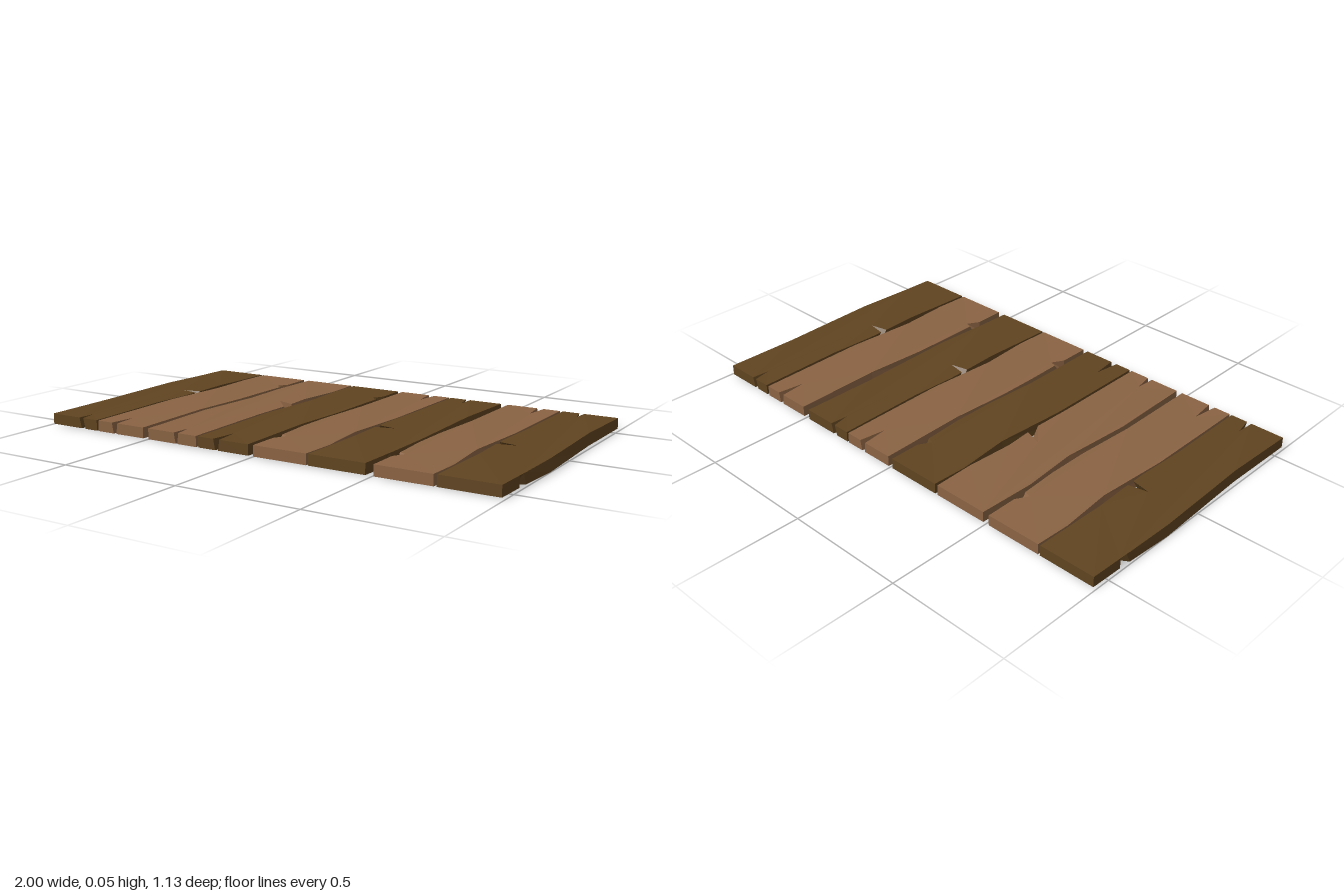
import * as THREE from 'three';

const END = 0.565; // half length of a plank

// Outline points run down the left edge, along the front, up the right edge.
// Each is [x, z, dx, dz]: top position, then the shift of its bottom twin.
const plankTypes = {
  // nick in the right edge, split front end, chip under the left edge
  nicked: [
    [-0.117, -END], [-0.12, -0.43], [-0.121, -0.4, 0.03], [-0.122, -0.38],
    [-0.127, -0.18, -0.002], [-0.117, 0.1], [-0.111, 0.25], [-0.117, END],
    [0.025, END, 0.01], [0.03, 0.49, 0.01], [0.045, END, 0.01], [0.117, END],
    [0.111, 0.2, 0.006], [0.119, 0, 0.002, 0.03], [0.117, -0.06, 0, 0.03],
    [0.04, -0.075, 0, 0.045], [0.117, -0.092, 0, 0.045], [0.11, -0.25], [0.117, -END]
  ],
  // shallow wedge in the right edge, split front end
  split: [
    [-0.116, -END], [-0.121, -0.42], [-0.103, -0.2, -0.006], [-0.122, 0.1, 0.006],
    [-0.116, END], [-0.045, END, 0.008], [-0.03, 0.455, 0.006], [-0.017, END, -0.006], [0.114, END],
    [0.108, 0.2, 0.006], [0.122, -0.05], [0.122, -0.22], [0.115, -0.375],
    [0.087, -0.385, 0.028, -0.02], [0.115, -0.435], [0.114, -END]
  ],
  // large wedge in the right edge, split front end
  wedged: [
    [-0.114, -END], [-0.122, -0.33, 0.006], [-0.105, -0.1, -0.006], [-0.126, 0.2],
    [-0.114, END], [0.012, END, 0.008], [0.018, 0.485, 0.006], [0.034, END, -0.006], [0.118, END],
    [0.112, 0.15], [0.115, -0.025], [0.038, -0.11, 0.076, 0.05], [0.113, -0.085],
    [0.105, -0.2, 0.01], [0.12, -0.4], [0.116, -END]
  ]
};

// Prism between a top and a bottom outline, slightly swollen in the middle
function plankGeometry(outline) {
  const swell = z => (Math.abs(z) < 0.26 ? 1 : 0);
  const top = outline.map(([x, z]) => new THREE.Vector3(x, 0.047 + 0.003 * swell(z), z));
  const bottom = outline.map(([x, z, dx = 0, dz = 0]) =>
    new THREE.Vector3(x + dx, 0.004 - 0.004 * swell(z), z + dz));
  const faces = loop => THREE.ShapeUtils.triangulateShape(
    loop.map(p => new THREE.Vector2(p.x, -p.z)), []);
  const corners = [];
  faces(top).forEach(([a, b, c]) => corners.push(top[a], top[b], top[c]));
  faces(bottom).forEach(([a, b, c]) => corners.push(bottom[a], bottom[c], bottom[b]));
  top.forEach((p, i) => {
    const j = (i + 1) % top.length;
    corners.push(p, bottom[i], bottom[j], p, bottom[j], top[j]);
  });
  const geometry = new THREE.BufferGeometry().setFromPoints(corners);
  geometry.computeVertexNormals();
  return geometry;
}

export function createModel() {
  const dark = new THREE.MeshStandardMaterial({ color: 0x604420 });
  dark.name = 'darkWood';
  const light = new THREE.MeshStandardMaterial({ color: 0x8a6343 });
  light.name = 'lightWood';

  const geometries = {};
  for (const type in plankTypes) geometries[type] = plankGeometry(plankTypes[type]);

  // Planks from -x to +x: type, wood, centre x, turned end for end
  const planks = [
    ['nicked', dark, -0.872, false],
    ['split', light, -0.63, false],
    ['wedged', light, -0.375, false],
    ['split', dark, -0.13, false],
    ['split', light, 0.12, true],
    ['nicked', dark, 0.362, true],
    ['split', light, 0.625, true],
    ['nicked', dark, 0.87, true]
  ];

  const model = new THREE.Group();
  model.name = 'plankFloor';
  planks.forEach(([type, wood, x, turned], i) => {
    const plank = new THREE.Mesh(geometries[type], wood);
    plank.name = `plank${i + 1}`;
    plank.position.x = x;
    if (turned) plank.rotation.y = Math.PI;
    model.add(plank);
  });
  return model;
}
